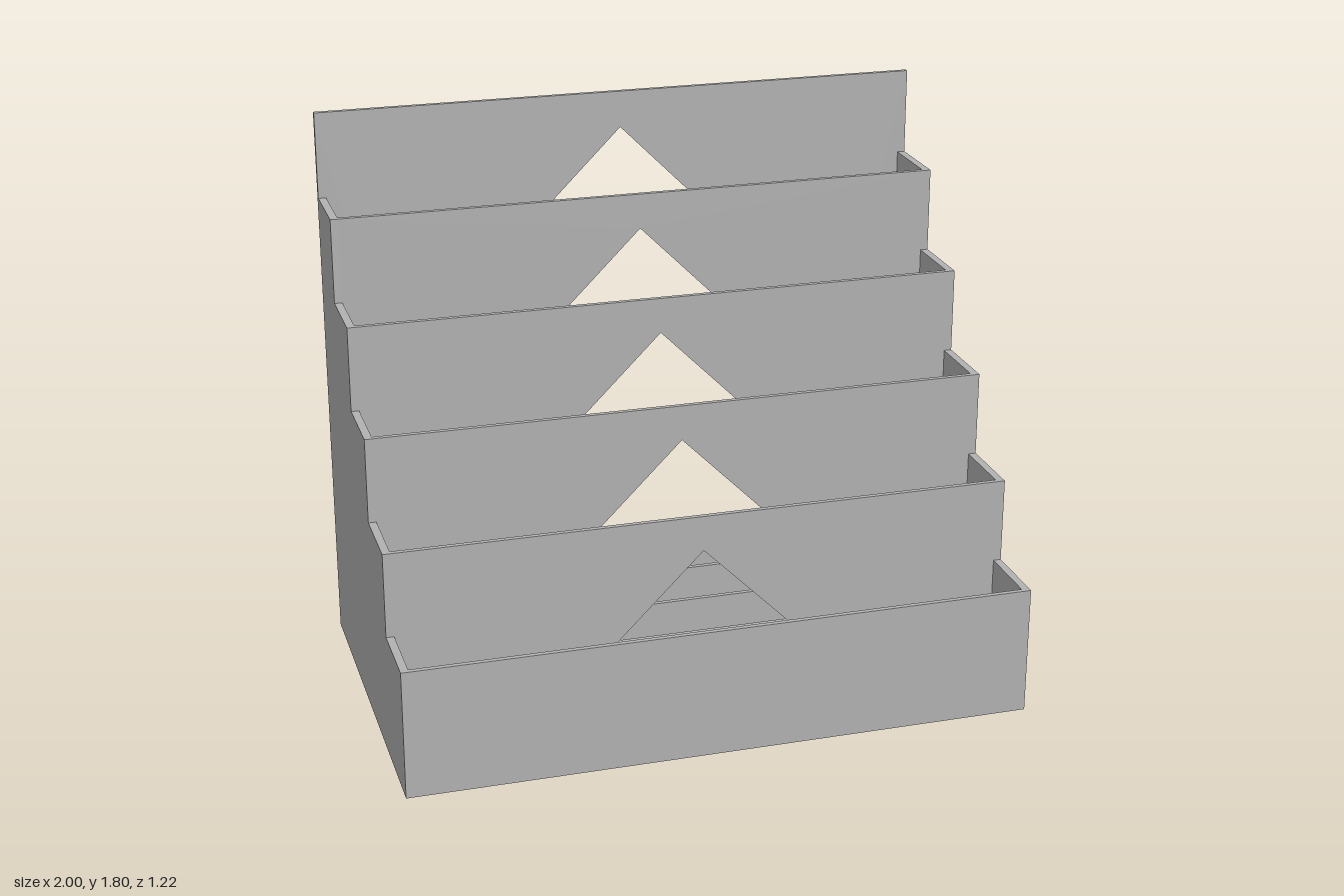
import * as THREE from 'three';

const STEPS = 5;          // open troughs, front to back
const PITCH = 0.24;       // depth of one step
const RISE = 0.275;       // height gained per step
const FRONT_Z = 0.607;
const FRONT_H = 0.42;
const SHEET = 0.016;      // cross panel thickness
const SIDE = 0.025;       // side wall thickness
const FLOOR = 0.01;
const HOLE_BOTTOM = 0.175;
const HOLE_HALF = [0, 0.32, 0.6, 0.79, 0.79, 0.79];

const stepHeight = (i) => FRONT_H + RISE * i;

function polygon(points, Type = THREE.Shape) {
  return new Type(points.map(([x, y]) => new THREE.Vector2(x, y)));
}

function extrude(shape, depth) {
  return new THREE.ExtrudeGeometry(shape, { depth, bevelEnabled: false });
}

export function createModel() {
  const group = new THREE.Group();
  const grey = new THREE.MeshStandardMaterial({ color: 0xb2b2b2 });
  grey.name = 'grey';

  const add = (name, geometry) => {
    const mesh = new THREE.Mesh(geometry, grey);
    mesh.name = name;
    group.add(mesh);
    return mesh;
  };

  // Cross panels, each taller than the last; all but the front have a house-shaped opening
  for (let i = 0; i <= STEPS; i++) {
    const isBack = i === STEPS;
    const w = isBack ? 1 : 1 - SIDE;
    const top = isBack ? 1.8 : stepHeight(i);
    const bottom = isBack ? 0 : FLOOR;
    const shape = polygon([[-w, bottom], [w, bottom], [w, top], [-w, top]]);
    const h = HOLE_HALF[i];
    if (h > 0) {
      const apex = stepHeight(i - 1) + 0.16;
      const eave = apex - h;
      shape.holes.push(polygon(
        [[-h, HOLE_BOTTOM], [-h, eave], [0, apex], [h, eave], [h, HOLE_BOTTOM]], THREE.Path));
    }
    const name = isBack ? 'backPanel' : i === 0 ? 'frontPanel' : `stepPanel${i}`;
    add(name, extrude(shape, SHEET)).position.z = FRONT_Z - PITCH * i - SHEET;
  }

  // Staircase side walls, drawn in (-z, y) and turned to stand along z
  const backZ = FRONT_Z - PITCH * STEPS;
  const profile = [[-backZ, 0], [-FRONT_Z, 0]].reverse();
  for (let i = STEPS - 1; i >= 0; i--) {
    profile.push([-(FRONT_Z - PITCH * (i + 1)), stepHeight(i)], [-(FRONT_Z - PITCH * i), stepHeight(i)]);
  }
  const sideGeometry = extrude(polygon(profile), SIDE).rotateY(Math.PI / 2);
  add('leftSide', sideGeometry).position.x = 1 - SIDE;
  add('rightSide', sideGeometry).position.x = -1;

  // Floor between the walls
  const floor = add('floor', new THREE.BoxGeometry(2 - 2 * SIDE, FLOOR, FRONT_Z - backZ));
  floor.position.set(0, FLOOR / 2, (FRONT_Z + backZ) / 2);

  return group;
}
